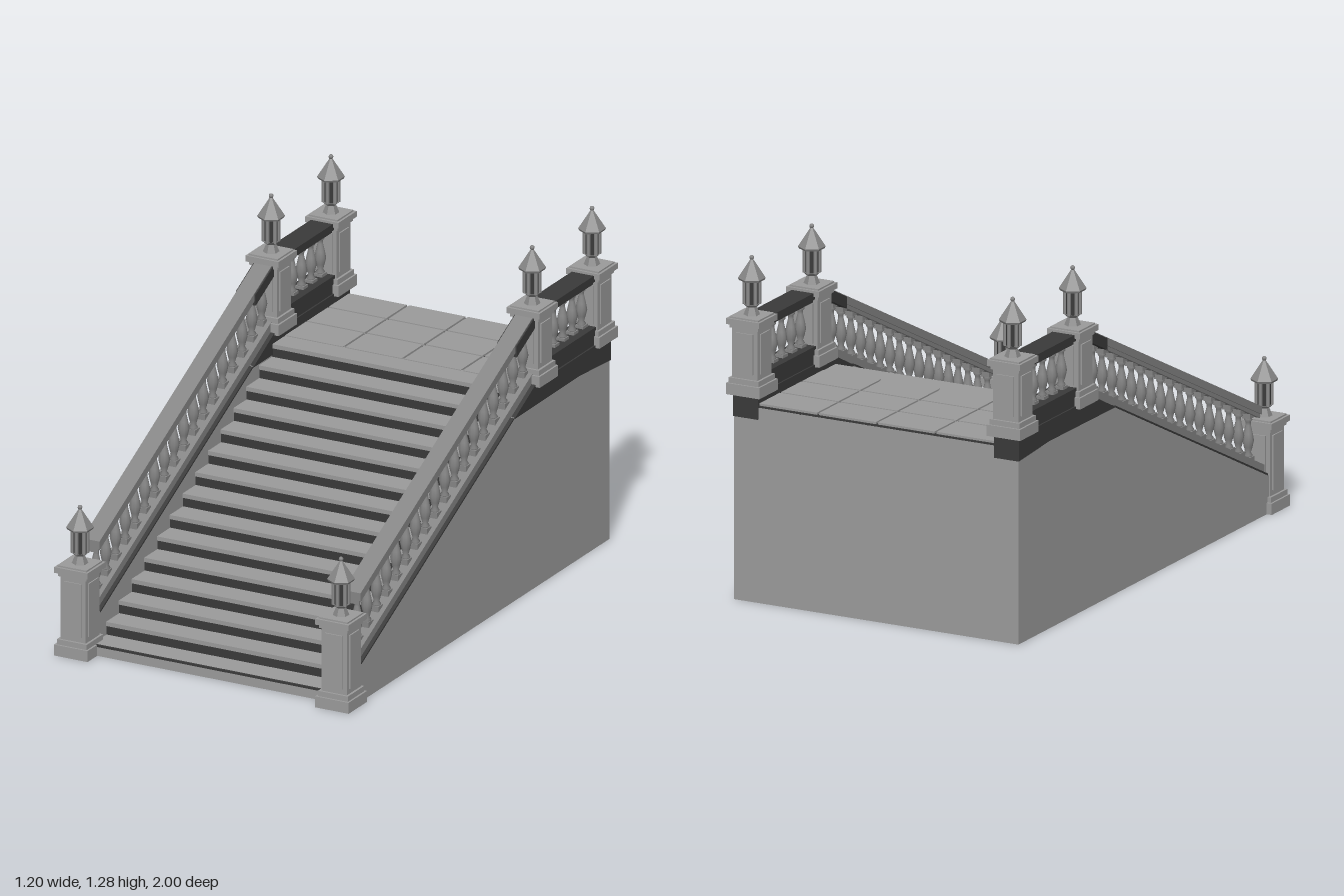
import * as THREE from 'three';

const mat = (name, color) => Object.assign(new THREE.MeshStandardMaterial({ color }), { name });
const stone = mat('light stone', 0x9a9a9a);
const worn = mat('worn stone', 0x858585);
const dark = mat('dark stone', 0x3a3a3a);
const flat = mat('faceted stone', 0x888888);
flat.flatShading = true;

function add(parent, name, geometry, material, x = 0, y = 0, z = 0) {
  const mesh = new THREE.Mesh(geometry, material);
  mesh.name = name;
  mesh.position.set(x, y, z);
  parent.add(mesh);
  return mesh;
}

// Box given by its bottom height
const block = (parent, name, m, w, h, d, x, y, z) =>
  add(parent, name, new THREE.BoxGeometry(w, h, d), m, x, y + h / 2, z);

// Side outline of [z, y] points, extruded across x and centred
function sideExtrude(points, width) {
  const shape = new THREE.Shape(points.map(([z, y]) => new THREE.Vector2(z, y)));
  const g = new THREE.ExtrudeGeometry(shape, { depth: width, bevelEnabled: false });
  return g.translate(0, 0, -width / 2).rotateY(-Math.PI / 2);
}

// Slope of the side walls, and a band that runs along it
const slope = (z) => 0.138 + 0.49 * (0.885 - z);
const band = (z0, z1, low, high, width) => sideExtrude([
  [z0, slope(z0) + low], [z0, slope(z0) + high], [z1, slope(z1) + high], [z1, slope(z1) + low],
], width);

const SIDE = 0.533, INNER = 0.485, BACK = -0.975;
const STEPS = 15, RISE = 0.05, RUN = 0.0945;

function stairs() {
  const g = new THREE.Group();
  g.name = 'stairs';
  // Solid core under the treads
  const pts = [[BACK, 0], [0.915, 0]];
  for (let i = 0; i < STEPS; i++) {
    const z = 0.912 - i * RUN, y = 0.03 + i * RISE;
    pts.push([z, y], [i < STEPS - 1 ? z - RUN : BACK, y]);
  }
  add(g, 'stairCore', sideExtrude(pts, INNER * 2), stone);
  // Treads with a nosing, and dark risers
  for (let i = 0; i < STEPS; i++) {
    const nose = 0.92 - i * RUN, top = 0.042 + i * RISE;
    block(g, 'tread', stone, INNER * 2, 0.016, RUN + 0.008, 0, top - 0.016, nose - RUN / 2 - 0.004);
    if (i > 0) block(g, 'riser', dark, INNER * 2, RISE - 0.016, 0.006, 0, top - RISE, nose - 0.007);
  }
  block(g, 'bottomPlinth', stone, INNER * 2, 0.034, 0.02, 0, 0, 0.918);
  block(g, 'bottomJoint', dark, INNER * 2, 0.008, 0.02, 0, 0.034, 0.918);
  return g;
}

function landing() {
  const g = new THREE.Group();
  g.name = 'landing';
  block(g, 'landingJoints', dark, INNER * 2, 0.01, 0.485, 0, 0.727, -0.7325);
  // Paving slabs with narrow gaps
  const xs = [-INNER, -0.24, 0, 0.24, INNER], zs = [BACK, -0.815, -0.655, -0.492];
  for (let i = 0; i < 4; i++) {
    for (let j = 0; j < 3; j++) {
      block(g, 'pavingSlab', stone, xs[i + 1] - xs[i] - 0.009, 0.012, zs[j + 1] - zs[j] - 0.009,
        (xs[i] + xs[i + 1]) / 2, 0.733, (zs[j] + zs[j + 1]) / 2);
    }
  }
  return g;
}

// Vase-shaped baluster with square ends
const vase = [[0.012, 0.012], [0.017, 0.02], [0.01, 0.03], [0.016, 0.05], [0.0215, 0.075],
  [0.017, 0.1], [0.01, 0.13], [0.01, 0.142], [0.016, 0.15], [0.012, 0.16]];
const vaseGeometry = new THREE.LatheGeometry(vase.map(([r, y]) => new THREE.Vector2(r, y)), 10);
const endGeometry = new THREE.BoxGeometry(0.034, 0.022, 0.034);

function baluster(y, z, height) {
  const g = new THREE.Group();
  g.name = 'baluster';
  add(g, 'balusterVase', vaseGeometry, worn);
  add(g, 'balusterFoot', endGeometry, worn, 0, 0.004, 0);
  add(g, 'balusterHead', endGeometry, worn, 0, 0.168, 0);
  g.position.set(0, y, z);
  g.scale.y = height / 0.172;
  return g;
}

// Lantern-shaped finial with a fluted drum and six-sided roof
function finial() {
  const g = new THREE.Group();
  g.name = 'finial';
  add(g, 'finialNeck', new THREE.CylinderGeometry(0.016, 0.03, 0.034, 6), flat, 0, 0.017, 0);
  add(g, 'finialDish', new THREE.CylinderGeometry(0.033, 0.02, 0.012, 6), flat, 0, 0.036, 0);
  add(g, 'finialDrum', new THREE.CylinderGeometry(0.025, 0.025, 0.1, 12), dark, 0, 0.09, 0);
  const rib = new THREE.CylinderGeometry(0.007, 0.007, 0.1, 6);
  for (let i = 0; i < 6; i++) {
    const a = i * Math.PI / 3;
    add(g, 'finialRib', rib, flat, Math.sin(a) * 0.027, 0.09, Math.cos(a) * 0.027);
  }
  add(g, 'finialEave', new THREE.CylinderGeometry(0.05, 0.046, 0.008, 6), flat, 0, 0.133, 0);
  add(g, 'finialRoof', new THREE.CylinderGeometry(0.005, 0.05, 0.07, 6), flat, 0, 0.172, 0);
  add(g, 'finialBall', new THREE.SphereGeometry(0.009, 8, 6), worn, 0, 0.213, 0);
  return g;
}

function post(name, y, z, height) {
  const g = new THREE.Group();
  g.name = name;
  block(g, 'postBase', stone, 0.137, 0.042, 0.137, 0, 0, 0);
  block(g, 'postBaseMoulding', stone, 0.122, 0.02, 0.122, 0, 0.042, 0);
  block(g, 'postShaft', stone, 0.104, height - 0.08, 0.104, 0, 0.05, 0);
  // Raised panel on each face
  const panel = new THREE.BoxGeometry(0.07, height - 0.14, 0.008);
  for (let i = 0; i < 4; i++) {
    const a = i * Math.PI / 2;
    add(g, 'postPanel', panel, stone, Math.sin(a) * 0.053, height / 2 + 0.012, Math.cos(a) * 0.053).rotation.y = a;
  }
  block(g, 'postCapMoulding', stone, 0.116, 0.014, 0.116, 0, height - 0.042, 0);
  block(g, 'postCap', stone, 0.136, 0.022, 0.136, 0, height - 0.028, 0);
  block(g, 'postCapTop', stone, 0.118, 0.006, 0.118, 0, height - 0.006, 0);
  const top = finial();
  top.position.y = height;
  g.add(top);
  g.position.set(0, y, z);
  return g;
}

function balustrade(name, x) {
  const g = new THREE.Group();
  g.name = name;
  // Side wall, stained around the landing
  add(g, 'sideWall', sideExtrude([[BACK, 0], [0.92, 0], [0.92, 0.121], [-0.419, 0.777], [BACK, 0.777]], 0.096), stone);
  add(g, 'stainedWallTop', sideExtrude([[-0.26, 0.699], [-0.419, 0.779], [-0.978, 0.779],
    [-0.978, 0.685], [-0.75, 0.702]], 0.102), dark);
  // Sloping run
  add(g, 'wallCoping', band(0.87, -0.26, -0.002, 0.005, 0.1), dark);
  add(g, 'lowerRail', band(0.87, -0.43, 0, 0.036, 0.07), worn);
  add(g, 'railMoulding', band(0.85, -0.43, 0.205, 0.225, 0.056), worn);
  add(g, 'handrail', band(0.85, -0.44, 0.22, 0.25, 0.07), worn);
  add(g, 'stainedRailEnd', band(-0.3, -0.44, 0.203, 0.246, 0.08), dark);
  for (let i = 0; i < 18; i++) {
    const z = 0.812 - i * 0.0722;
    g.add(baluster(slope(z) + 0.034, z, 0.176));
  }
  // Level run beside the landing
  block(g, 'landingPlinth', dark, 0.09, 0.07, 0.4, 0, 0.774, -0.712);
  block(g, 'landingRailMoulding', dark, 0.066, 0.02, 0.4, 0, 1.005, -0.712);
  block(g, 'landingHandrail', dark, 0.09, 0.025, 0.4, 0, 1.02, -0.712);
  for (let i = 0; i < 5; i++) g.add(baluster(0.84, -0.572 - i * 0.07, 0.17));
  // Posts
  g.add(post('frontPost', 0, 0.931, 0.345));
  g.add(post('middlePost', 0.77, -0.487, 0.29));
  g.add(post('backPost', 0.77, -0.931, 0.29));
  g.position.x = x;
  return g;
}

export function createModel() {
  const model = new THREE.Group();
  model.name = 'staircase';
  model.add(stairs(), landing(), balustrade('leftBalustrade', SIDE), balustrade('rightBalustrade', -SIDE));
  return model;
}
